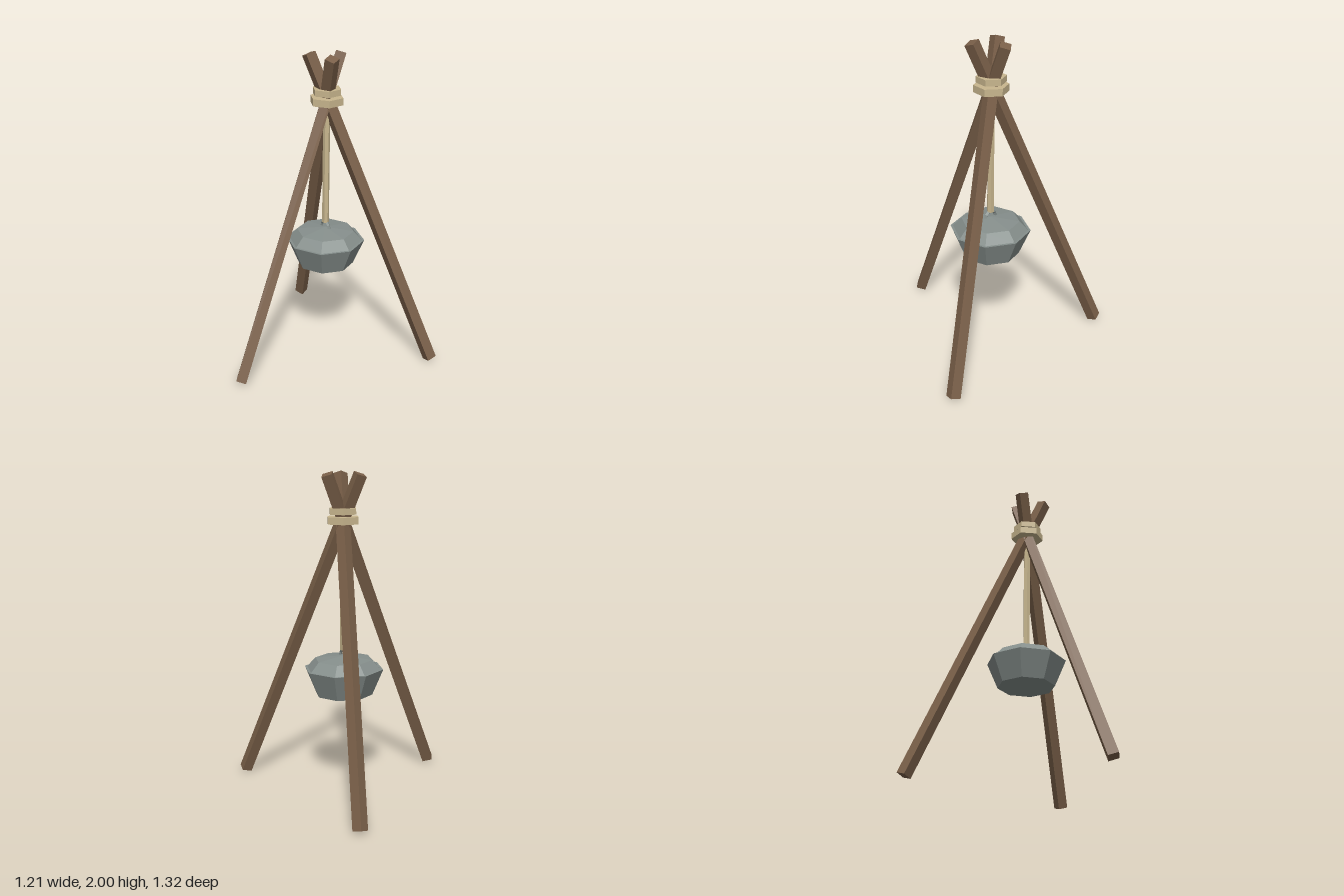
import * as THREE from 'three';

export function createModel() {
  const flat = (name, color) => new THREE.MeshStandardMaterial({ name, color, flatShading: true });
  const wood = flat('wood', 0x7a6049);
  const rope = flat('rope', 0xc8b68e);
  const iron = flat('iron', 0x868f8c);

  const model = new THREE.Group();
  model.name = 'campfireTripod';

  // Everything hangs around one vertical axis
  const rig = new THREE.Group();
  rig.name = 'rig';
  rig.position.set(0.151, 0, 0.035);
  model.add(rig);

  const add = (name, geometry, material, y, parent = rig) => {
    const mesh = new THREE.Mesh(geometry, material);
    mesh.name = name;
    mesh.position.y = y;
    parent.add(mesh);
    return mesh;
  };

  // Three square poles, each leaning through the axis with a ridge on top
  const footR = 0.722, headR = 0.115, footY = 0.018, headY = 1.982;
  const run = footR + headR, rise = headY - footY;
  const poleGeometry = new THREE.CylinderGeometry(0.045, 0.045, Math.hypot(run, rise), 4);
  for (let i = 0; i < 3; i++) {
    const leg = new THREE.Group();
    leg.name = 'leg' + (i + 1);
    leg.rotation.y = -THREE.MathUtils.degToRad(55.2 + 120 * i);
    rig.add(leg);
    const pole = add('pole', poleGeometry, wood, (footY + headY) / 2, leg);
    pole.position.x = (footR - headR) / 2;
    pole.rotation.z = Math.atan2(run, rise);
  }

  // Hexagonal lashings where the poles cross
  for (const [name, radius, height, y] of [
    ['lowerLashing', 0.106, 0.044, 1.706],
    ['upperLashing', 0.091, 0.038, 1.761],
  ]) {
    add(name, new THREE.CylinderGeometry(radius, radius, height, 6), rope, y).rotation.y = Math.PI / 6;
  }

  // Hanging rope
  add('hangingRope', new THREE.CylinderGeometry(0.022, 0.022, 0.8, 6), rope, 1.3);

  // Eight-sided pot: bowl with a flat rim, and a shallow lid
  const lathe = (points) =>
    new THREE.LatheGeometry(points.map(([r, y]) => new THREE.Vector2(r, y)), 8);
  add('bowl', lathe([[0, -0.19], [0.182, -0.165], [0.252, 0], [0.22, 0]]), iron, 0.785);
  add('lid', lathe([[0.236, 0], [0.182, 0.058], [0, 0.08]]), iron, 0.785);

  // Small arched handle on the lid
  add('handle', new THREE.TorusGeometry(0.037, 0.011, 4, 6, Math.PI), iron, 0.865)
    .rotation.y = Math.PI / 2;

  return model;
}
